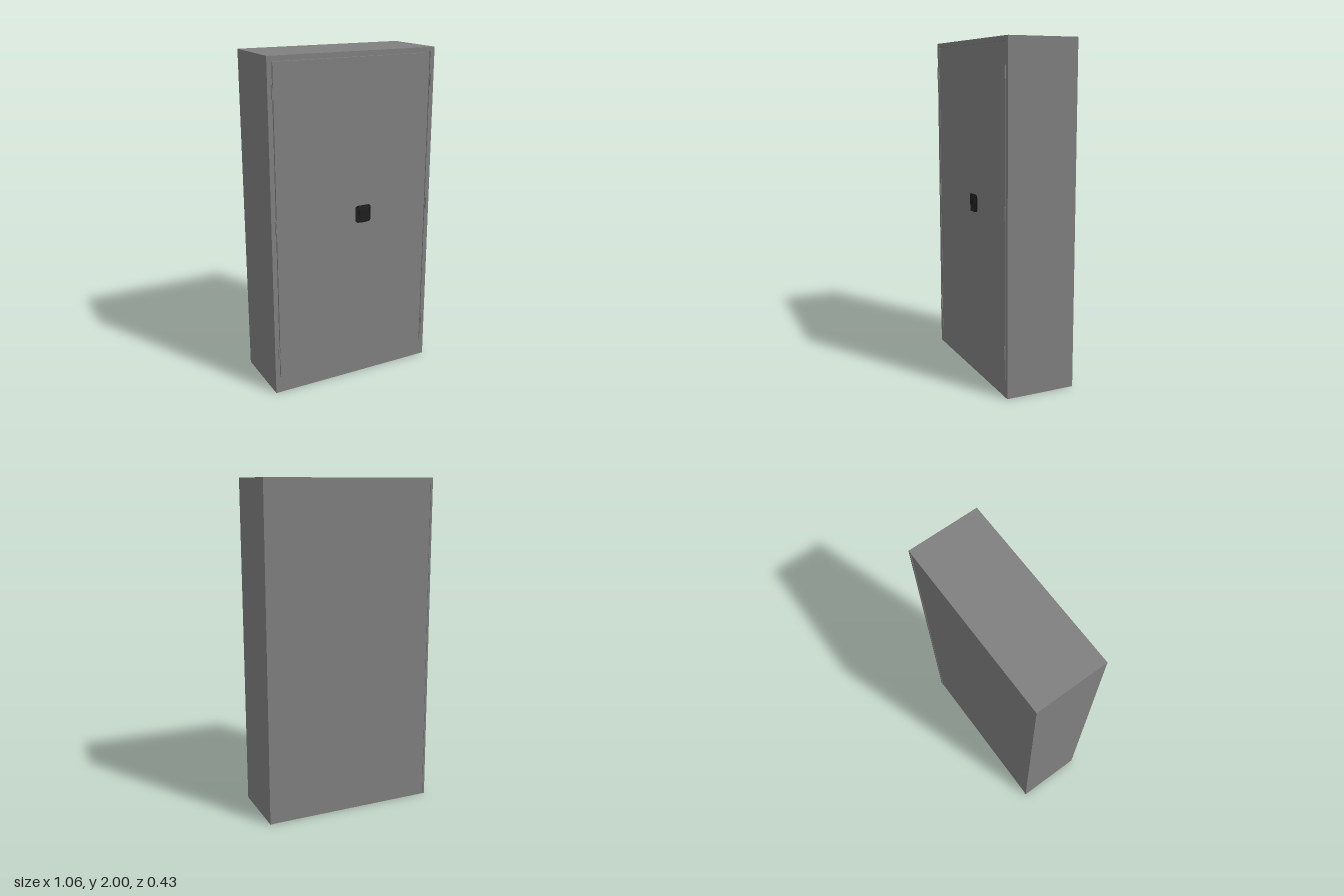
import * as THREE from 'three';

const steel = new THREE.MeshStandardMaterial({ color: 0x808080 });
steel.name = 'grey steel';
const plastic = new THREE.MeshStandardMaterial({ color: 0x1e1e1e });
plastic.name = 'black plastic';

// Box given by its minimum and maximum on each axis
function box(parent, name, [x0, x1], [y0, y1], [z0, z1], material = steel) {
  const mesh = new THREE.Mesh(new THREE.BoxGeometry(x1 - x0, y1 - y0, z1 - z0), material);
  mesh.position.set((x0 + x1) / 2, (y0 + y1) / 2, (z0 + z1) / 2);
  mesh.name = name;
  parent.add(mesh);
  return mesh;
}

// Evenly sampled outline of a rounded rectangle
function roundedOutline(w, h, r, count = 64) {
  const s = new THREE.Shape();
  const x = w / 2, y = h / 2;
  s.moveTo(-x + r, -y);
  s.lineTo(x - r, -y).absarc(x - r, -y + r, r, -Math.PI / 2, 0);
  s.lineTo(x, y - r).absarc(x - r, y - r, r, 0, Math.PI / 2);
  s.lineTo(-x + r, y).absarc(-x + r, y - r, r, Math.PI / 2, Math.PI);
  s.lineTo(-x, -y + r).absarc(-x + r, -y + r, r, Math.PI, Math.PI * 1.5);
  return s.getSpacedPoints(count).slice(0, count);
}

// Recessed latch: a bowed bezel around a shallow cup with a ribbed lever
function createLatch() {
  const latch = new THREE.Group();
  latch.name = 'latch';
  const shape = new THREE.Shape(roundedOutline(0.104, 0.104, 0.018));
  shape.holes.push(new THREE.Path(roundedOutline(0.08, 0.08, 0.01).reverse()));
  const bezel = new THREE.ExtrudeGeometry(shape, { depth: 0.004, bevelEnabled: false });
  const p = bezel.attributes.position;
  for (let i = 0; i < p.count; i++) {
    if (p.getZ(i) > 0.002) p.setZ(i, 0.002 + 0.009 * (1 - (p.getX(i) / 0.052) ** 2));
  }
  bezel.computeVertexNormals();
  const rim = new THREE.Mesh(bezel, plastic);
  rim.name = 'latchBezel';
  latch.add(rim);
  box(latch, 'latchCup', [-0.042, 0.042], [-0.042, 0.042], [0, 0.002], plastic);
  box(latch, 'latchLever', [-0.03, 0.03], [-0.008, 0.03], [0.002, 0.009], plastic);
  for (const y of [-0.032, -0.021]) {
    box(latch, 'latchRib', [-0.034, 0.034], [y, y + 0.005], [0.002, 0.006], plastic);
  }
  latch.position.set(0.06, 1.052, 0.204);
  return latch;
}

export function createModel() {
  const cabinet = new THREE.Group();
  cabinet.name = 'cabinet';
  const X = 0.528, inner = 0.515, back = -0.217, front = 0.204;

  // Sides with folded front flanges, and the hinges
  for (const s of [-1, 1]) {
    const span = (a, b) => (s > 0 ? [a, b] : [-b, -a]);
    box(cabinet, 'sidePanel', span(inner, X), [0, 2], [back, front]);
    box(cabinet, 'frontFlange', span(0.5, inner), [0, 2], [0.19, front]);
    box(cabinet, 'doorStop', span(0.48, inner), [0.1, 1.985], [0.178, 0.186]);
    for (const y of [0.265, 1.055, 1.812]) {
      const pin = new THREE.Mesh(new THREE.CylinderGeometry(0.005, 0.005, 0.074, 12), steel);
      pin.name = 'hingePin';
      pin.position.set(s * 0.504, y, 0.21);
      cabinet.add(pin);
      box(cabinet, 'hingeLeaf', span(0.498, 0.502), [y - 0.034, y + 0.034], [0.188, 0.209]);
    }
  }

  // Top, back and raised floor of the carcass
  box(cabinet, 'topPanel', [-inner, inner], [1.985, 2], [back, 0.19]);
  box(cabinet, 'topFlange', [-0.5, 0.5], [1.973, 2], [0.19, front]);
  box(cabinet, 'topDoorStop', [-0.48, 0.48], [1.95, 1.985], [0.178, 0.186]);
  box(cabinet, 'backPanel', [-inner, inner], [0, 1.985], [back + 0.003, back + 0.013]);
  box(cabinet, 'floorPanel', [-inner, inner], [0.085, 0.1], [back + 0.013, 0.19]);

  // Plinth and door, flush with the frame
  box(cabinet, 'plinth', [-0.5, 0.5], [0, 0.1], [0.19, front]);
  box(cabinet, 'door', [-0.495, 0.495], [0.1, 1.968], [0.188, front]);
  cabinet.add(createLatch());
  return cabinet;
}
